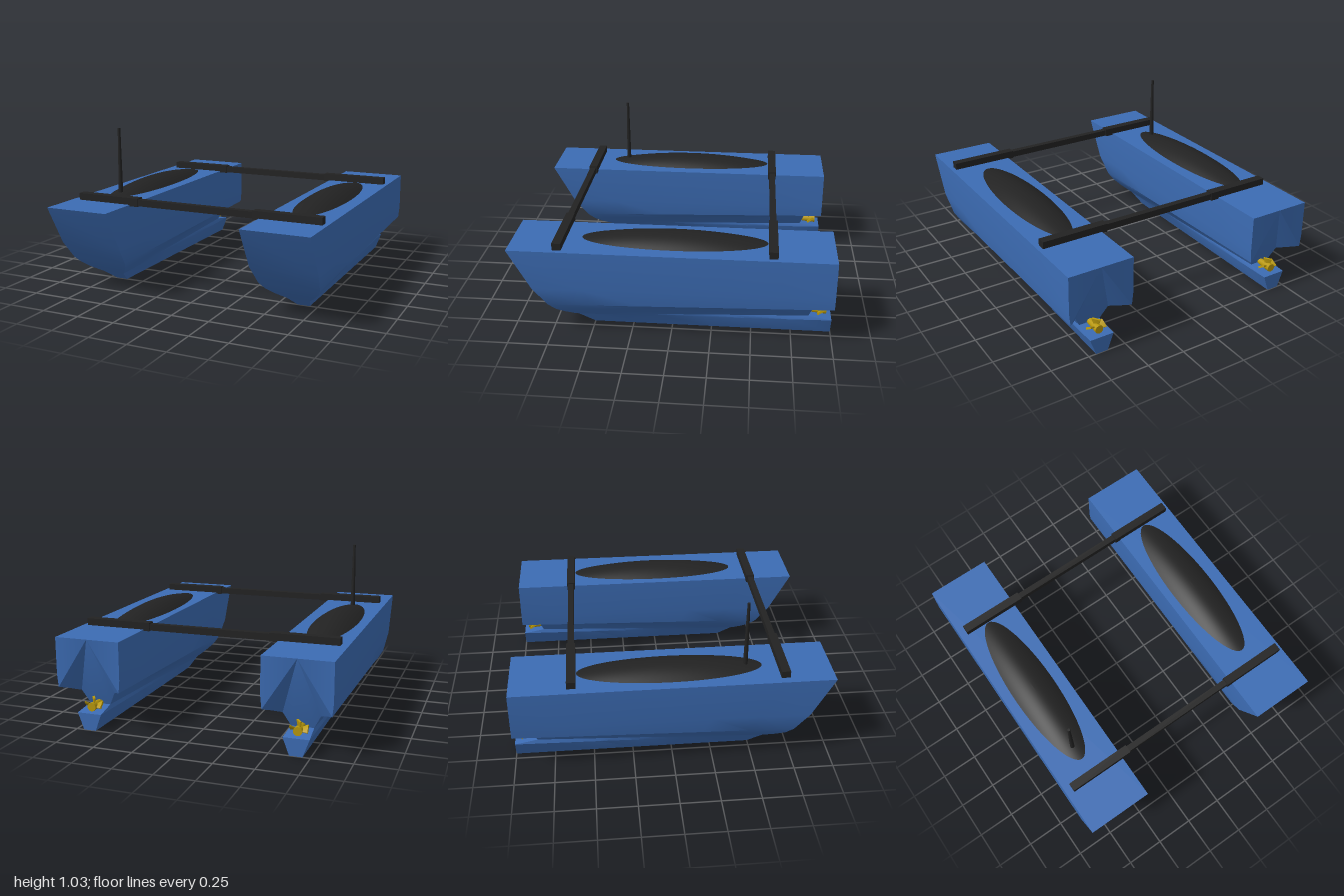
import * as THREE from 'three';
import { toCreasedNormals } from 'three/addons/utils/BufferGeometryUtils.js';

const BLUE = new THREE.MeshStandardMaterial({ color: 0x3c6cb4 });
const BLACK = new THREE.MeshStandardMaterial({ color: 0x222222 });
const GOLD = new THREE.MeshStandardMaterial({ color: 0xb8980c });

function add(parent, name, geometry, material, x = 0, y = 0, z = 0) {
  const mesh = new THREE.Mesh(geometry, material);
  mesh.name = name;
  mesh.position.set(x, y, z);
  parent.add(mesh);
  return mesh;
}

// Hull rails on the +x side, deck edge to keel: [bow point, stern point]
const RAILS = [
  [[0.215, 0.58, 1], [0.215, 0.58, -1]],
  [[0.215, 0.32, 0.855], [0.215, 0.34, -1]],
  [[0.195, 0.2, 0.765], [0.207, 0.26, -1]],
  [[0.17, 0.155, 0.72], [0.165, 0.247, -0.96]],
  [[0.13, 0.115, 0.67], [0.115, 0.215, -0.88]],
  [[0.09, 0.08, 0.615], [0.07, 0.13, -0.855]],
  [[0.075, 0.07, 0.6], [0.08, 0.108, -1]],
  [[0.04, 0, 0.5], [0.04, 0, -1]],
];

function hullGeometry() {
  const pos = [];
  const tri = (...pts) => pts.forEach((p) => pos.push(...p));
  const quad = (a, b, c, d) => { tri(a, b, c); tri(a, c, d); };
  const flip = ([x, y, z]) => [-x, y, z];
  const mix = (rail, t) => rail[0].map((v, k) => v + (rail[1][k] - v) * t);
  const bow = RAILS.map((r) => r[0]);
  const stern = RAILS.map((r) => r[1]);
  const last = RAILS.length - 1;
  const steps = 6;

  for (let i = 0; i < last; i++) {
    // side planking, mirrored
    for (let s = 0; s < steps; s++) {
      const a = mix(RAILS[i], s / steps), b = mix(RAILS[i], (s + 1) / steps);
      const c = mix(RAILS[i + 1], (s + 1) / steps), d = mix(RAILS[i + 1], s / steps);
      quad(a, d, c, b);
      quad(flip(b), flip(c), flip(d), flip(a));
    }
    // raked bow
    quad(flip(bow[i]), flip(bow[i + 1]), bow[i + 1], bow[i]);
  }
  // deck and keel
  quad(flip(stern[0]), flip(bow[0]), bow[0], stern[0]);
  quad(flip(bow[last]), flip(stern[last]), stern[last], bow[last]);
  // hollowed stern, fanned out from the middle of the deck edge
  const neck = stern.slice(0, 6);
  const rim = [...neck, ...neck.map(flip).reverse()];
  for (let i = 0; i < rim.length - 1; i++) tri([0, 0.58, -1], rim[i], rim[i + 1]);
  // skeg shelf and end
  quad(flip(stern[6]), flip(stern[5]), stern[5], stern[6]);
  quad(stern[6], stern[7], flip(stern[7]), flip(stern[6]));

  const g = new THREE.BufferGeometry();
  g.setAttribute('position', new THREE.Float32BufferAttribute(pos, 3));
  return toCreasedNormals(g, 0.45);
}

// Shallow elliptical dome closed by the deck below
function hatchGeometry() {
  const pts = [];
  for (let i = 0; i <= 10; i++) {
    const r = 1 - i / 10;
    pts.push(new THREE.Vector2(r, 0.055 * (1 - r * r)));
  }
  return new THREE.LatheGeometry(pts, 48).scale(0.146, 1, 0.585);
}

function propeller() {
  const g = new THREE.Group();
  g.name = 'propeller';
  const hub = new THREE.CylinderGeometry(0.02, 0.028, 0.12, 10).rotateX(Math.PI / 2);
  add(g, 'propellerHub', hub, GOLD);
  // three pitched blades
  for (let i = 0; i < 3; i++) {
    const arm = new THREE.Group();
    arm.name = 'propellerBlade';
    arm.rotation.z = (i - 1) * 1.4;
    const blade = new THREE.CylinderGeometry(0.04, 0.018, 0.05, 4, 1);
    blade.rotateY(Math.PI / 4).scale(0.25, 1, 1);
    add(arm, 'blade', blade, GOLD, 0, 0.03, -0.025).rotation.y = 0.6;
    g.add(arm);
  }
  return g;
}

export function createModel() {
  const model = new THREE.Group();
  model.name = 'catamaran';

  // hulls with deck hatches and propellers
  const hull = hullGeometry();
  const hatch = hatchGeometry();
  for (const [side, x, hatchX] of [['left', 0.66, 0.645], ['right', -0.664, -0.67]]) {
    add(model, side + 'Hull', hull, BLUE, x);
    add(model, side + 'DeckHatch', hatch, BLACK, hatchX, 0.579, -0.01);
    const prop = propeller();
    prop.position.set(x, 0.14, -0.91);
    model.add(prop);
  }

  // cross beams: slim bar held in a sleeve on each hull
  for (const [name, z] of [['front', 0.692], ['rear', -0.62]]) {
    add(model, name + 'CrossBar', new THREE.BoxGeometry(0.84, 0.042, 0.04), BLACK, 0.007, 0.596, z);
    for (const x of [-0.61, 0.625]) {
      add(model, name + 'BeamSleeve', new THREE.BoxGeometry(0.44, 0.054, 0.055), BLACK, x, 0.598, z);
    }
  }

  // antenna mast on the right hull
  add(model, 'antenna', new THREE.CylinderGeometry(0.009, 0.015, 0.44, 12), BLACK, -0.675, 0.81, 0.465);
  return model;
}
